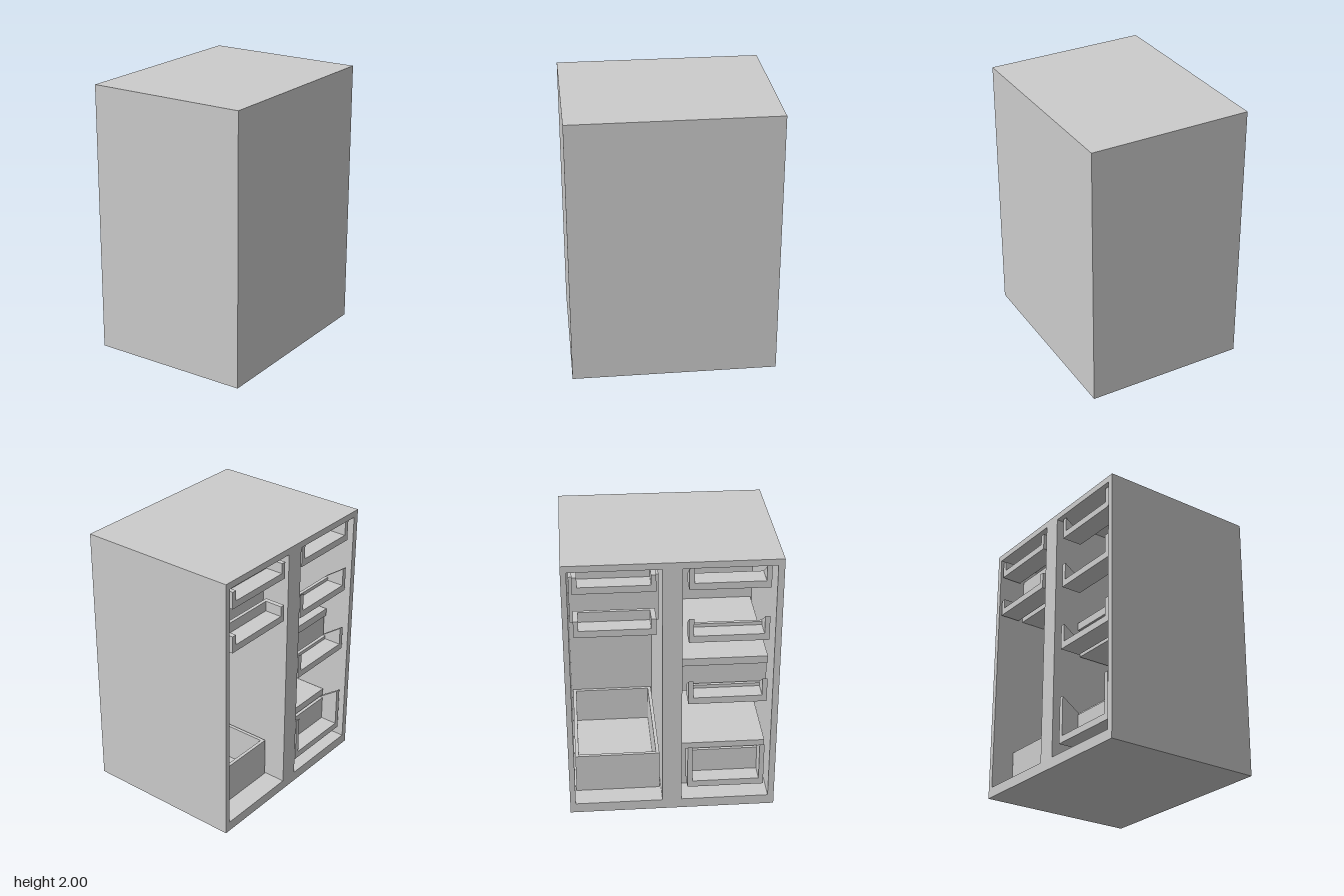
import * as THREE from 'three';

const material = new THREE.MeshStandardMaterial({ color: 0xcccccc, flatShading: true });

function addMesh(parent, name, geometry) {
  const mesh = new THREE.Mesh(geometry, material);
  mesh.name = name;
  parent.add(mesh);
  return mesh;
}

// Box given by its lowest and highest corners
function addBox(parent, name, [x0, y0, z0], [x1, y1, z1]) {
  const mesh = addMesh(parent, name, new THREE.BoxGeometry(x1 - x0, y1 - y0, z1 - z0));
  mesh.position.set((x0 + x1) / 2, (y0 + y1) / 2, (z0 + z1) / 2);
  return mesh;
}

function rectangle(Type, x0, y0, x1, y1) {
  return new Type([[x0, y0], [x1, y0], [x1, y1], [x0, y1]].map(p => new THREE.Vector2(...p)));
}

// Door bin open towards the door: floor, inner wall and two end walls
function addBin(parent, name, { x, y, z0, z1, height, innerHeight, depth = 0.155 }) {
  const bin = new THREE.Group();
  bin.name = name;
  parent.add(bin);
  const wall = 0.035, base = 0.05;
  const end = new THREE.Shape([
    [x, y], [x + depth, y], [x + depth, y + innerHeight], [x, y + height],
  ].map(p => new THREE.Vector2(...p)));
  for (const z of [z0, z1 - wall]) {
    addMesh(bin, 'binEnd', new THREE.ExtrudeGeometry(end, { depth: wall, bevelEnabled: false })).position.z = z;
  }
  addBox(bin, 'binFloor', [x, y, z0 + wall], [x + depth, y + base, z1 - wall]);
  addBox(bin, 'binInnerWall', [x + depth - 0.025, y + base, z0 + wall], [x + depth, y + innerHeight, z1 - wall]);
}

// Open-topped basket
function addBasket(parent, name, [x0, y0, z0], [x1, y1, z1], wall = 0.025) {
  const shape = rectangle(THREE.Shape, x0, -z1, x1, -z0);
  shape.holes.push(rectangle(THREE.Path, x0 + wall, -z1 + wall, x1 - wall, -z0 - wall));
  const walls = new THREE.ExtrudeGeometry(shape, { depth: y1 - y0, bevelEnabled: false });
  walls.rotateX(-Math.PI / 2);
  addMesh(parent, name, walls).position.y = y0;
  addBox(parent, name + 'Floor', [x0 + wall, y0, z0 + wall], [x1 - wall, y0 + wall, z1 - wall]);
}

export function createModel() {
  const group = new THREE.Group();
  group.name = 'refrigerator';

  // Cabinet: frame with two tall compartments opening towards -x, closed behind
  const bottom = 0.075, top = 1.953, backX = 0.52;
  const narrow = [-0.71, -0.073], wide = [0.066, 0.705];
  const frame = rectangle(THREE.Shape, -0.75, 0, 0.75, 2);
  for (const [z0, z1] of [narrow, wide]) {
    frame.holes.push(rectangle(THREE.Path, z0, bottom, z1, top));
  }
  const cabinet = new THREE.ExtrudeGeometry(frame, { depth: backX + 0.6, bevelEnabled: false });
  cabinet.rotateY(-Math.PI / 2).translate(backX, 0, 0);
  addMesh(group, 'cabinet', cabinet);
  addBox(group, 'rearPanel', [backX, 0, -0.75], [0.6, 2, 0.75]);

  // Freezer side: two level bins, ice maker and basket
  for (const y of [1.46, 1.79]) {
    addBin(group, 'freezerBin', { x: -0.598, y, z0: -0.678, z1: -0.113, height: 0.125, innerHeight: 0.125 });
  }
  addBox(group, 'iceMaker', [-0.395, 1.47, narrow[0] + 0.01], [backX, 1.82, narrow[1] - 0.01]);
  addBasket(group, 'freezerBasket', [-0.435, bottom, narrow[0] + 0.01], [backX - 0.01, 0.377, narrow[1] - 0.01]);

  // Fridge side: four bins whose ends slope down inwards
  for (const [y, height] of [[1.78, 0.16], [1.375, 0.185], [0.878, 0.185], [0.163, 0.345]]) {
    addBin(group, 'fridgeBin', { x: -0.575, y, z0: 0.112, z1: 0.67, height, innerHeight: height - 0.11 });
  }

  // Fridge side: shelf with a hanging drawer, and the crisper drawer
  const [w0, w1] = [wide[0] + 0.01, wide[1] - 0.01];
  addBox(group, 'shelf', [-0.405, 1.09, w0], [backX, 1.148, w1]);
  addBox(group, 'shelfDrawer', [-0.39, 0.88, w0 + 0.005], [backX, 1.09, w1 - 0.005]);
  addBox(group, 'crisperDrawer', [-0.405, bottom, w0], [backX, 0.435, w1]);

  return group;
}
